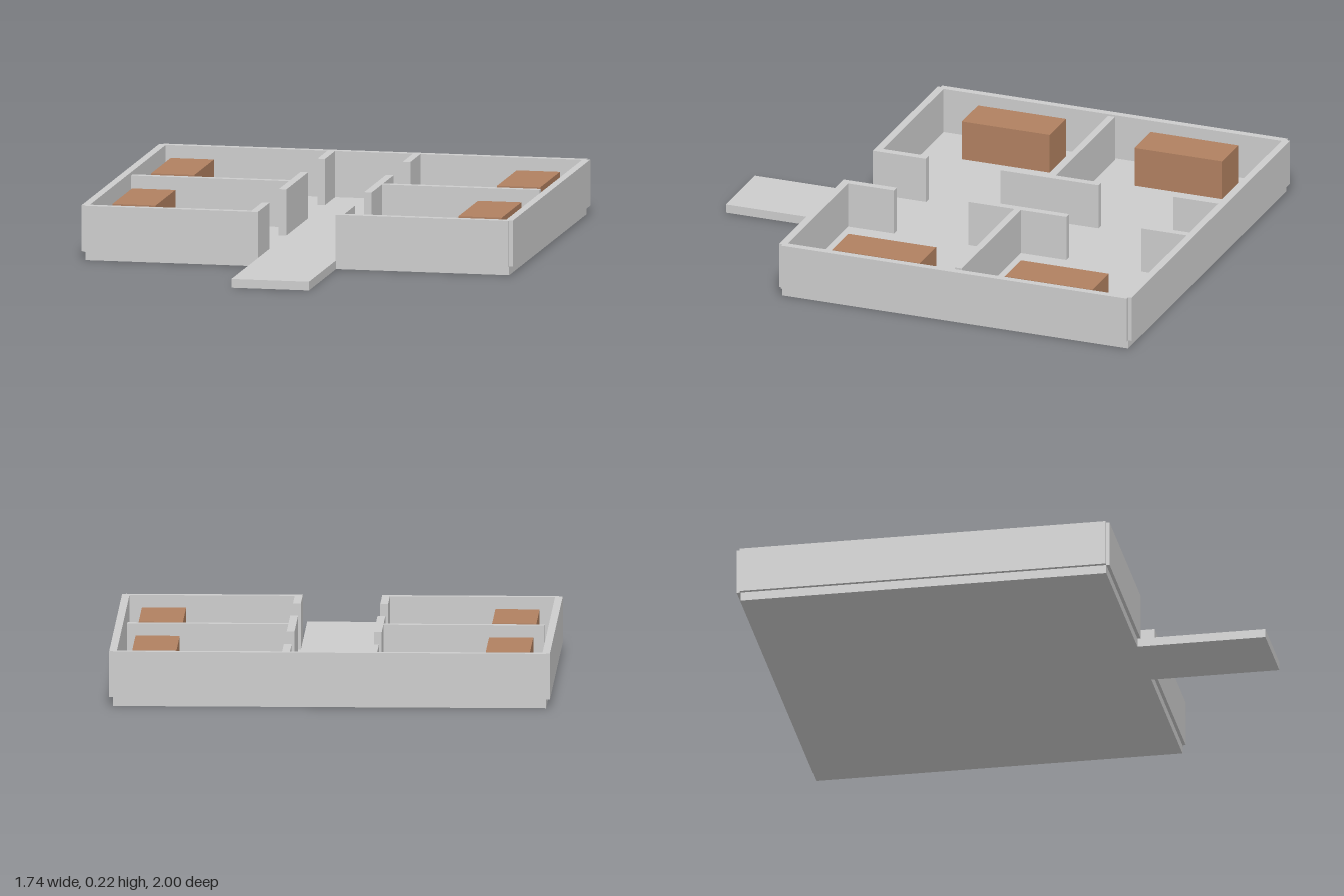
import * as THREE from 'three';

const FLOOR = 0.035, WALL_TOP = 0.22, BLOCK_TOP = 0.197;

export function createModel() {
  const model = new THREE.Group();
  const grey = new THREE.MeshStandardMaterial({ color: 0xcccccc });
  const brown = new THREE.MeshStandardMaterial({ color: 0xb08060 });

  // Box given by its limits on each axis
  function box(name, [x0, x1], [y0, y1], [z0, z1], material = grey) {
    const mesh = new THREE.Mesh(new THREE.BoxGeometry(x1 - x0, y1 - y0, z1 - z0), material);
    mesh.position.set((x0 + x1) / 2, (y0 + y1) / 2, (z0 + z1) / 2);
    mesh.name = name;
    model.add(mesh);
  }

  // The same box on the left (+x) and the right (-x)
  function pair(name, [x0, x1], y, z, material) {
    box(name + 'Left', [x0, x1], y, z, material);
    box(name + 'Right', [-x1, -x0], y, z, material);
  }

  const wall = [FLOOR, WALL_TOP];

  // Floor slab and entrance walkway
  box('floor', [-0.857, 0.857], [0, FLOOR], [-0.985, 0.485]);
  box('walkway', [-0.157, 0.157], [0, FLOOR], [0.485, 1]);

  // Outer walls, overhanging the slab, with an opening at the front
  box('backWall', [-0.857, 0.857], wall, [-1, -0.97]);
  pair('sideWall', [0.842, 0.872], wall, [-0.985, 0.485]);
  pair('frontWall', [0.157, 0.857], wall, [0.467, 0.498]);

  // Corridor walls, broken by a doorway into each room
  [[-0.97, -0.778], [-0.46, -0.045], [0.272, 0.467]].forEach((z, i) =>
    pair('corridorWall' + (i + 1), [0.157, 0.188], wall, z));

  // Walls between the front and back rooms
  pair('roomDivider', [0.188, 0.826], wall, [-0.267, -0.238]);

  // One brown block in each room
  pair('backRoomBlock', [0.612, 0.787], [FLOOR, BLOCK_TOP], [-0.807, -0.434], brown);
  pair('frontRoomBlock', [0.612, 0.787], [FLOOR, BLOCK_TOP], [-0.074, 0.299], brown);

  return model;
}
